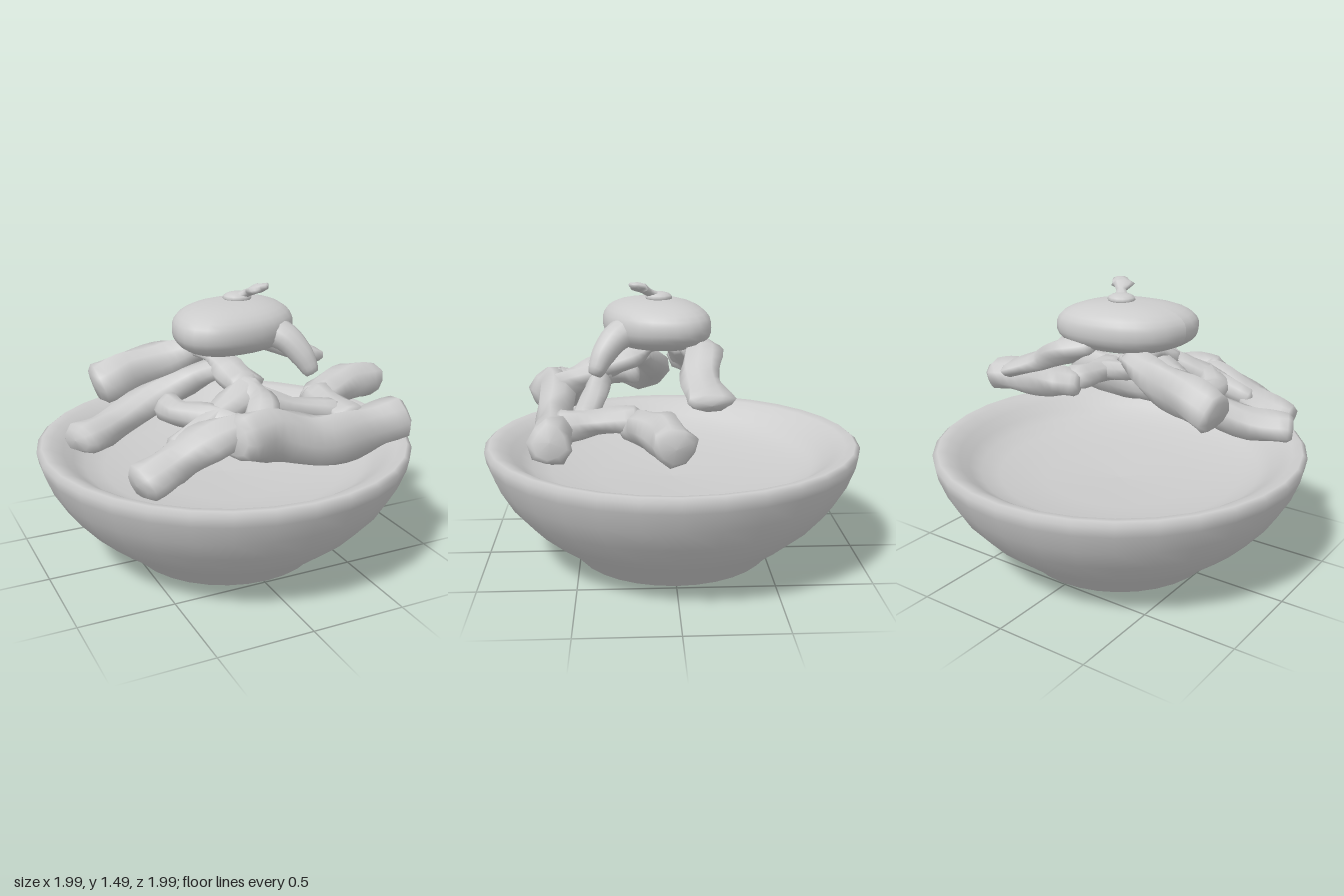
import * as THREE from 'three';

const grey = new THREE.MeshStandardMaterial({ color: 0xcccccc });
grey.name = 'plain grey';

// Closed lumpy strand; each control point is [x, y, z, half width, half height]
function strand(name, pts, sides = 9, rough = 0.1) {
  const curve = new THREE.CatmullRomCurve3(pts.map(p => new THREE.Vector3(p[0], p[1], p[2])));
  const steps = (pts.length - 1) * 4;
  const rings = [[0, 0], [0, 0.75]];
  for (let i = 0; i <= steps; i++) rings.push([i / steps, 1]);
  rings.push([1, 0.75], [1, 0]);
  const pos = [], idx = [], Y = new THREE.Vector3(0, 1, 0);
  rings.forEach(([t, k], i) => {
    const c = curve.getPoint(t), T = curve.getTangent(t);
    if (k < 1) c.addScaledVector(T, (t ? 1 : -1) * (k ? 0.025 : 0.03));
    const S = new THREE.Vector3().crossVectors(T, Y).normalize();
    const U = new THREE.Vector3().crossVectors(S, T);
    const f = t * (pts.length - 1), a = Math.min(Math.floor(f), pts.length - 2);
    const w = THREE.MathUtils.lerp(pts[a][3], pts[a + 1][3], f - a) * k;
    const h = THREE.MathUtils.lerp(pts[a][4], pts[a + 1][4], f - a) * k;
    for (let j = 0; j < sides; j++) {
      const ang = j / sides * Math.PI * 2;
      const lump = 1 + rough * Math.sin(j * 2.3 + i * 0.8);
      const p = c.clone().addScaledVector(S, Math.cos(ang) * w * lump)
        .addScaledVector(U, Math.sin(ang) * h * lump);
      pos.push(p.x, p.y, p.z);
      if (i < rings.length - 1) {
        const n = (j + 1) % sides, r0 = i * sides, r1 = r0 + sides;
        idx.push(r0 + j, r1 + j, r0 + n, r1 + j, r1 + n, r0 + n);
      }
    }
  });
  const g = new THREE.BufferGeometry();
  g.setAttribute('position', new THREE.Float32BufferAttribute(pos, 3));
  g.setIndex(idx);
  g.computeVertexNormals();
  const m = new THREE.Mesh(g, grey);
  m.name = name;
  return m;
}

// Rounded, slightly boxy cap
function makeCap() {
  const g = new THREE.SphereGeometry(1, 28, 18), p = g.attributes.position;
  for (let i = 0; i < p.count; i++) {
    const x = p.getX(i), y = p.getY(i), z = p.getZ(i);
    const k = Math.pow(Math.abs(x) ** 2.5 + Math.abs(z) ** 2.5 + Math.abs(y) ** 2.5, -1 / 2.5);
    p.setXYZ(i, k * (x * 0.335 - z * 0.04) + 0.01, y * k * 0.13 + 1.275, k * (z * 0.272 - x * 0.035) + 0.085);
  }
  g.computeVertexNormals();
  const m = new THREE.Mesh(g, grey);
  m.name = 'cap';
  return m;
}

export function createModel() {
  const model = new THREE.Group();
  model.name = 'bowlWithStrands';

  // Bowl: foot, outer wall, rounded rim and shallow dished inside
  const profile = [
    [0, 0.005], [0.48, 0.008], [0.52, 0.025], [0.58, 0.09], [0.68, 0.165], [0.78, 0.25],
    [0.88, 0.365], [0.945, 0.475], [0.985, 0.58], [0.995, 0.635], [0.97, 0.655], [0.92, 0.645],
    [0.86, 0.61], [0.81, 0.565], [0.75, 0.525], [0.65, 0.49], [0.4, 0.45], [0, 0.435],
  ].map(p => new THREE.Vector2(...p));
  const bowl = new THREE.Mesh(new THREE.LatheGeometry(profile, 32), grey);
  bowl.name = 'bowl';
  model.add(bowl);

  // Cap with its drip and small knob
  model.add(makeCap());
  model.add(strand('capDrip', [
    [0.14, 1.27, 0.2, 0.1, 0.08], [0.21, 1.23, 0.29, 0.08, 0.07],
    [0.265, 1.15, 0.355, 0.06, 0.06], [0.295, 1.085, 0.385, 0.045, 0.045]], 12, 0));
  const base = new THREE.Mesh(new THREE.SphereGeometry(1, 14, 8), grey);
  base.name = 'knobBase';
  base.scale.set(0.075, 0.03, 0.07);
  base.position.set(0.04, 1.41, 0.07);
  model.add(base);
  model.add(strand('knob', [
    [0.04, 1.415, 0.08, 0.045, 0.02], [0.075, 1.44, 0.12, 0.025, 0.02],
    [0.1, 1.465, 0.165, 0.06, 0.025], [0.125, 1.475, 0.185, 0.045, 0.02]]));

  // Back strands rising into the underside of the cap
  model.add(strand('backLeftStrand', [
    [-0.64, 0.98, -0.13, 0.12, 0.105], [-0.48, 1.03, -0.12, 0.1, 0.12],
    [-0.28, 1.08, -0.09, 0.09, 0.1], [-0.12, 1.14, -0.04, 0.09, 0.06]]));
  model.add(strand('backRightStrand', [
    [0.12, 1.19, -0.1, 0.09, 0.05], [0.25, 1.15, -0.14, 0.1, 0.075],
    [0.42, 1.06, -0.12, 0.095, 0.055], [0.61, 0.99, -0.15, 0.12, 0.045]]));

  // Side strands resting over the bowl
  model.add(strand('leftSideStrand', [
    [-0.86, 0.845, 0.235, 0.11, 0.07], [-0.7, 0.85, 0.16, 0.1, 0.085],
    [-0.45, 0.94, 0.09, 0.09, 0.075], [-0.25, 1.02, 0.11, 0.09, 0.07], [-0.1, 1.09, 0.18, 0.08, 0.05]]));
  model.add(strand('rightSideStrand', [
    [0.44, 0.84, 0.19, 0.1, 0.07], [0.54, 0.85, 0.14, 0.12, 0.09],
    [0.72, 0.87, 0.07, 0.1, 0.1], [0.9, 0.86, 0.03, 0.105, 0.09]]));

  // Front strands
  model.add(strand('frontStrand', [
    [-0.23, 0.89, 0.66, 0.11, 0.11], [-0.04, 0.87, 0.61, 0.1, 0.13], [0.2, 0.79, 0.61, 0.09, 0.13],
    [0.45, 0.79, 0.59, 0.09, 0.13], [0.7, 0.835, 0.59, 0.1, 0.11]]));
  model.add(strand('leftFrontStrand', [
    [-0.69, 0.735, 0.61, 0.11, 0.085], [-0.52, 0.79, 0.58, 0.115, 0.095],
    [-0.35, 0.87, 0.58, 0.12, 0.09], [-0.18, 0.91, 0.6, 0.09, 0.09]]));

  // Short linking strands
  model.add(strand('leftLink', [
    [-0.4, 0.93, 0.2, 0.07, 0.07], [-0.38, 0.93, 0.32, 0.09, 0.06],
    [-0.28, 0.93, 0.46, 0.07, 0.07], [-0.17, 0.9, 0.6, 0.07, 0.07]]));
  model.add(strand('crossLink', [
    [-0.04, 1.03, 0.37, 0.1, 0.07], [-0.15, 0.98, 0.43, 0.09, 0.07],
    [-0.3, 0.92, 0.48, 0.07, 0.06], [-0.48, 0.84, 0.53, 0.07, 0.06]]));
  model.add(strand('centreLink', [
    [-0.07, 1.02, 0.36, 0.1, 0.08], [-0.03, 0.98, 0.48, 0.08, 0.07], [-0.08, 0.91, 0.6, 0.09, 0.08]]));
  model.add(strand('rightLink', [
    [0.45, 0.87, 0.2, 0.09, 0.07], [0.44, 0.86, 0.38, 0.1, 0.06], [0.44, 0.84, 0.55, 0.1, 0.08]]));
  model.add(strand('thinLink', [
    [0.0, 0.98, 0.38, 0.06, 0.06], [0.17, 0.91, 0.41, 0.065, 0.055], [0.4, 0.87, 0.44, 0.07, 0.055]]));
  model.add(strand('underCapLink', [
    [-0.12, 1.14, -0.06, 0.09, 0.035], [-0.1, 1.13, 0.12, 0.08, 0.03],
    [-0.07, 1.08, 0.22, 0.1, 0.06], [-0.05, 1.03, 0.36, 0.1, 0.07]]));

  return model;
}
